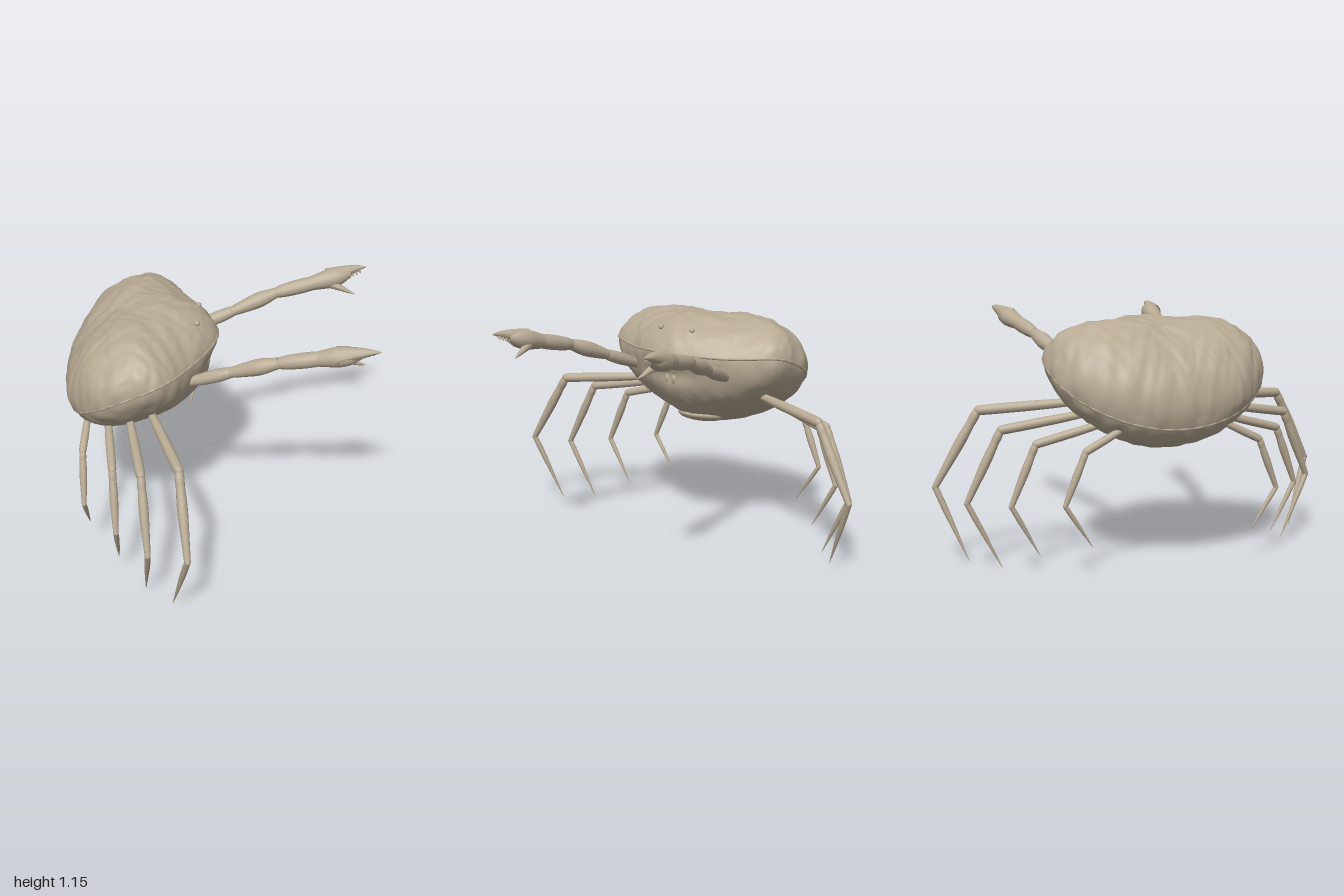
import * as THREE from 'three';

const shellMat = new THREE.MeshStandardMaterial({ color: 0xb8aa94, side: THREE.DoubleSide });
const V = (x, y, z) => new THREE.Vector3(x, y, z);

// Tilted body frame: u runs back to front, n points up out of the back.
const fromBody = (u, n, z) => V(-0.36 + 0.914 * u - 0.406 * n, 0.82 + 0.406 * u + 0.914 * n, z);
const bodyCentre = fromBody(0, 0, 0);

// Rim where carapace and belly meet, as [u, n, z]: round behind, tapering to a blunt snout.
function rim(a) {
  const c = Math.cos(a), s = Math.sin(a);
  const f = c > 0 ? 0.72 * Math.pow(c, 0.55) + 0.28 * Math.pow(c, 8) : -Math.pow(-c, 0.92);
  return [0.395 * f, 0.1 * s * s, 0.53 * s];
}

const bumps = p =>
  Math.sin(23 * p.x + 4 * Math.sin(9 * p.z)) * Math.sin(19 * p.z + 3 * Math.sin(13 * p.x)) +
  0.6 * Math.sin(47 * p.x + 3 * Math.sin(21 * p.z) + 11 * p.y) * Math.sin(41 * p.z + 2 * p.y) +
  0.35 * Math.sin(83 * p.x + 3 * Math.sin(37 * p.z)) * Math.sin(71 * p.z + 2 * Math.sin(31 * p.x));

// Half shell lofted in rings from the rim to a pole; height < 0 gives the belly.
// pull draws the front of the rings back between rim and pole.
function halfShell(name, height, scale, pull, displace) {
  const cols = 180, rows = 48, pos = [], index = [];
  for (let j = 0; j <= rows; j++) {
    const f = (j / rows) * Math.PI / 2, c = Math.cos(f) * scale, s = Math.sin(f);
    for (let i = 0; i < cols; i++) {
      const [u, n, z] = rim((i / cols) * Math.PI * 2);
      const front = u > 0 ? 1 - pull * Math.sin(2 * f) : 1;
      const p = fromBody(u * c * front, n * c + height * s, z * c);
      const k = 1 + displace(p) * Math.min(1, j / 5);
      p.sub(bodyCentre).multiplyScalar(k).add(bodyCentre);
      pos.push(p.x, p.y, p.z);
      if (j < rows) {
        const a = j * cols + i, b = j * cols + (i + 1) % cols;
        if (height > 0) index.push(a, a + cols, b, b, a + cols, b + cols);
        else index.push(a, b, a + cols, b, b + cols, a + cols);
      }
    }
  }
  const g = new THREE.BufferGeometry();
  g.setAttribute('position', new THREE.Float32BufferAttribute(pos, 3));
  g.setIndex(index);
  g.computeVertexNormals();
  return named(new THREE.Mesh(g, shellMat), name);
}

function named(o, name) { o.name = name; return o; }

// Round limb section from a to b; profile is a list of [fraction, radius].
function section(name, a, b, profile) {
  const len = a.distanceTo(b);
  const curve = new THREE.SplineCurve(profile.map(([t, r]) => new THREE.Vector2(r, t * len)));
  const pts = curve.getPoints(profile.length * 4).map(p => new THREE.Vector2(Math.max(p.x, 0.0005), p.y));
  const m = new THREE.Mesh(new THREE.LatheGeometry(pts, 16), shellMat);
  m.position.copy(a);
  m.quaternion.setFromUnitVectors(V(0, 1, 0), b.clone().sub(a).normalize());
  return named(m, name);
}

function blob(name, p, sx, sy, sz) {
  const m = new THREE.Mesh(new THREE.SphereGeometry(1, 20, 14), shellMat);
  m.position.copy(p);
  m.scale.set(sx, sy, sz);
  return named(m, name);
}

// Curved, tapering finger: a tube narrowed towards its tip.
function finger(name, pts, r) {
  const curve = new THREE.CatmullRomCurve3(pts), n = 20, sides = 12;
  const g = new THREE.TubeGeometry(curve, n, r, sides, false);
  const pos = g.attributes.position, p = V(0, 0, 0);
  for (let i = 0; i <= n; i++) {
    const c = curve.getPointAt(i / n), k = Math.pow(1 - i / n, 0.8) + 0.01;
    for (let j = 0; j <= sides; j++) {
      const id = i * (sides + 1) + j;
      p.fromBufferAttribute(pos, id).sub(c).multiplyScalar(k).add(c);
      pos.setXYZ(id, p.x, p.y, p.z);
    }
  }
  g.computeVertexNormals();
  return named(new THREE.Mesh(g, shellMat), name);
}

function leg(points, r, side) {
  const [hip, knee, ankle, tip] = points.map(([x, y, z]) => V(x, y, z * side));
  const wrist = knee.clone().lerp(ankle, 0.17);
  const g = named(new THREE.Group(), 'walkingLeg');
  g.add(
    section('upperLeg', hip, knee, [[0, r * 0.8], [0.4, r], [0.95, r], [1, r * 0.75]]),
    blob('knee', knee, r * 0.85, r * 0.85, r * 0.85),
    section('kneeSegment', knee, wrist, [[0, r * 0.75], [0.5, r * 0.92], [1, r * 0.85]]),
    section('lowerLeg', wrist, ankle, [[0, r * 0.85], [0.3, r], [0.7, r * 0.8], [1, r * 0.62]]),
    blob('ankle', ankle, r * 0.62, r * 0.62, r * 0.62),
    section('footSpike', ankle, tip, [[0, r * 0.6], [0.3, r * 0.6], [0.7, r * 0.33], [1, 0.001]])
  );
  return g;
}

function claw(side) {
  const P = (x, y, z) => V(x, y, z * side);
  const g = named(new THREE.Group(), 'clawArm');
  const a = P(-0.15, 0.858, 0.27), b = P(0.065, 0.94, 0.31), c = P(0.285, 1.022, 0.362), d = P(0.47, 1.064, 0.39);
  g.add(
    section('armBase', a, b, [[0, 0.001], [0.04, 0.018], [0.3, 0.027], [0.65, 0.032], [0.92, 0.029], [1, 0.025]]),
    section('forearm', b, c, [[0, 0.025], [0.25, 0.032], [0.6, 0.039], [0.9, 0.03], [1, 0.026]]),
    section('wrist', c, d, [[0, 0.026], [0.2, 0.033], [0.6, 0.037], [0.9, 0.036], [1, 0.035]]),
    section('palm', d.clone().lerp(c, 0.08), P(0.66, 1.107, 0.422),
      [[0, 0.034], [0.25, 0.042], [0.5, 0.048], [0.75, 0.042], [1, 0.018]]),
    finger('fixedFinger', [P(0.55, 1.088, 0.408), P(0.63, 1.112, 0.426), P(0.69, 1.126, 0.439), P(0.742, 1.132, 0.445)], 0.047),
    finger('movingFinger', [P(0.54, 1.07, 0.39), P(0.6, 1.05, 0.376), P(0.65, 1.03, 0.368), P(0.685, 1.018, 0.36)], 0.026)
  );
  // Teeth along the inner edge of the fixed finger
  for (let i = 0; i < 5; i++) {
    const t = i / 4, root = P(0.635 + 0.07 * t, 1.09 + 0.026 * t, 0.415 + 0.02 * t);
    g.add(section('clawTooth', root, root.clone().add(P(0.008, -0.018 + 0.006 * t, -0.01)),
      [[0, 0.008], [0.5, 0.005], [1, 0.0005]]));
  }
  return g;
}

export function createModel() {
  const model = named(new THREE.Group(), 'crab');

  // Body: knobbly carapace, ridged belly with a hollow face, raised rim
  model.add(halfShell('carapace', 0.307, 1, 0, p => 0.012 * bumps(p)));
  model.add(halfShell('belly', -0.243, 0.985, 0.08, p => {
    const face = p.x > -0.3 ? Math.exp(-(((p.y - 0.87) / 0.06) ** 2) - (p.z / 0.17) ** 2) : 0;
    return 0.006 * bumps(p) + 0.005 * Math.sin(70 * p.z + 12 * p.x) - 0.09 * face;
  }));
  const rimPoints = [];
  for (let i = 0; i < 90; i++) {
    const [u, n, z] = rim((i / 90) * Math.PI * 2), k = 0.987 + 0.006 * (i % 2);
    rimPoints.push(fromBody(u * k, n, z * k));
  }
  model.add(named(new THREE.Mesh(
    new THREE.TubeGeometry(new THREE.CatmullRomCurve3(rimPoints, true), 270, 0.007, 8, true), shellMat), 'shellRim'));

  // Abdomen flap under the belly
  const flap = blob('abdomenFlap', V(-0.32, 0.6, 0), 0.13, 0.034, 0.12);
  flap.rotation.z = 0.2;
  model.add(flap);

  // Mouth parts, brow ridges and eyes
  model.add(blob('upperLip', V(-0.075, 0.882, 0), 0.04, 0.018, 0.1));
  for (const side of [-1, 1]) {
    for (let i = 0; i < 3; i++) {
      const z = side * (0.02 + 0.032 * i);
      model.add(blob('mouthPlate', V(-0.07 - 0.01 * i, 0.838 + 0.006 * i, z), 0.032, 0.037 - 0.003 * i, 0.02));
    }
    const brow = new THREE.CatmullRomCurve3([
      V(-0.08, 0.875, 0.08 * side), V(-0.095, 0.875, 0.14 * side), V(-0.12, 0.9, 0.2 * side), V(-0.15, 0.915, 0.25 * side)]);
    model.add(named(new THREE.Mesh(new THREE.TubeGeometry(brow, 20, 0.016, 8), shellMat), 'browRidge'));
    model.add(blob('eye', V(-0.097, 1.083, side * 0.095), 0.014, 0.014, 0.014));
  }

  // Limbs: hip, knee, ankle and tip of each leg, front to back
  const legs = [
    [[-0.3, 0.75, 0.39], [-0.155, 0.715, 0.79], [-0.112, 0.36, 0.99], [-0.19, 0.01, 0.855]],
    [[-0.41, 0.71, 0.36], [-0.33, 0.645, 0.735], [-0.297, 0.31, 0.89], [-0.325, 0.0, 0.735]],
    [[-0.52, 0.68, 0.3], [-0.472, 0.595, 0.615], [-0.456, 0.315, 0.728], [-0.462, 0.075, 0.595]],
    [[-0.62, 0.66, 0.26], [-0.63, 0.575, 0.435], [-0.625, 0.335, 0.532], [-0.62, 0.135, 0.4]]
  ];
  for (const side of [-1, 1]) {
    legs.forEach((points, i) => model.add(leg(points, 0.024 - 0.002 * i, side)));
    model.add(claw(side));
  }
  return model;
}
